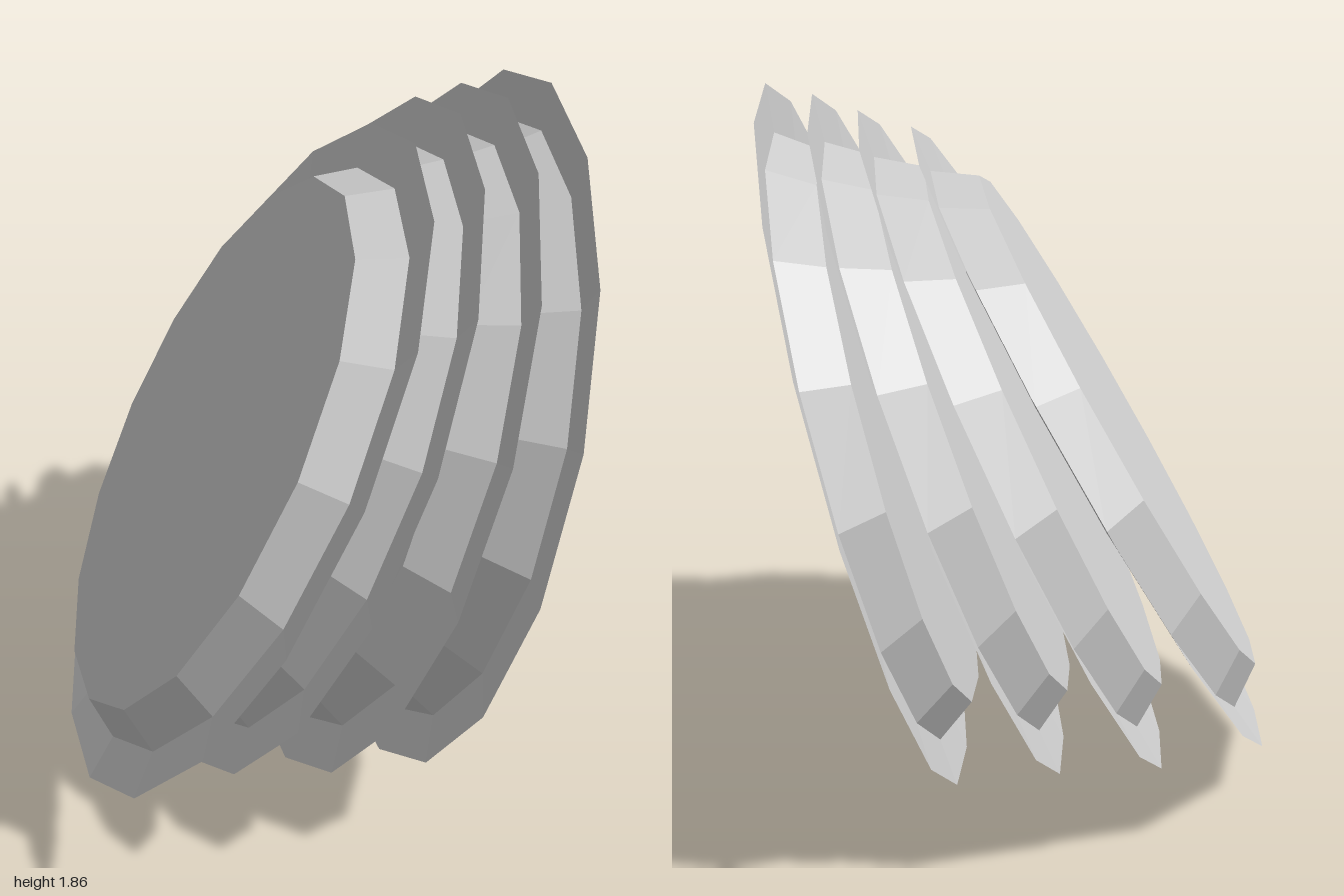
import * as THREE from 'three';

// Four leaning plates, each a thin 16-sided dish facing +x and tilted back.
export function createModel() {
  const model = new THREE.Group();
  model.name = 'plateStack';

  const material = new THREE.MeshStandardMaterial({
    color: 0xcccccc, flatShading: true, side: THREE.DoubleSide,
  });

  // Dish profile: flat floor, sloping wall, slightly drooping rim
  const profile = [[0, -0.09], [0.763, -0.09], [0.838, 0.015], [0.963, 0]]
    .map(([r, h]) => new THREE.Vector2(r, h));
  const dish = new THREE.LatheGeometry(profile, 16);

  // Rim centre and lean from vertical in degrees
  const plates = [
    { at: [-0.185, 0.911, 0.035], lean: 30 },
    { at: [0.022, 0.92, -0.037], lean: 25 },
    { at: [0.217, 0.928, -0.02], lean: 20 },
    { at: [0.414, 0.931, -0.037], lean: 15 },
  ];
  plates.forEach(({ at, lean }, i) => {
    const plate = new THREE.Mesh(dish, material);
    plate.name = `plate${i + 1}`;
    plate.position.set(...at);
    plate.rotation.z = -THREE.MathUtils.degToRad(90 + lean);
    model.add(plate);
  });

  return model;
}
